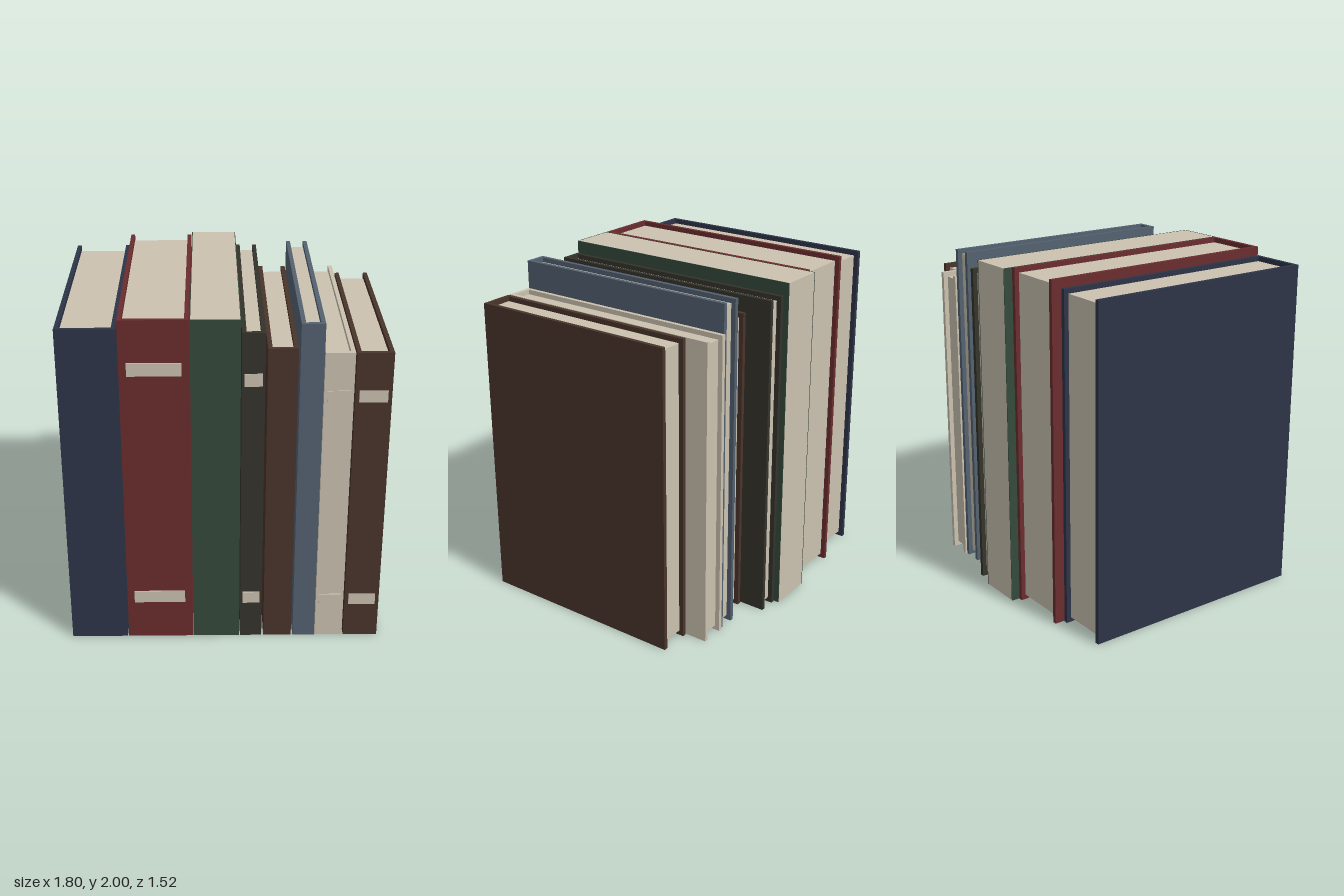
import * as THREE from 'three';

const mat = (name, color) => {
  const m = new THREE.MeshStandardMaterial({ color });
  m.name = name;
  return m;
};

const FRONT = 0.754; // plane shared by all the spines

// Box given by its limits on each axis
function block(name, material, [x0, x1], [y0, y1], [z0, z1]) {
  const mesh = new THREE.Mesh(new THREE.BoxGeometry(x1 - x0, y1 - y0, z1 - z0), material);
  mesh.name = name;
  mesh.position.set((x0 + x1) / 2, (y0 + y1) / 2, (z0 + z1) / 2);
  return mesh;
}

function makeBook({ name, x, height, back, cover, paper, bands = false, paperback = false }) {
  const book = new THREE.Group();
  book.name = name;
  const [x0, x1] = x;
  const t = paperback ? 0.004 : 0.024;      // board thickness
  const inset = paperback ? 0.001 : 0.028;  // pages set back from the board edges

  // Boards and spine
  book.add(block('rightCover', cover, [x0, x0 + t], [0, height], [back, FRONT - t]));
  book.add(block('leftCover', cover, [x1 - t, x1], [0, height], [back, FRONT - t]));
  book.add(block('spine', cover, [x0, x1], [0, height], [FRONT - t, FRONT]));

  // Page block
  book.add(block('pages', paper, [x0 + t, x1 - t], [inset, height - inset], [back + inset, FRONT - t]));

  // Raised labels across the spine
  if (bands) {
    const mid = (x0 + x1) / 2, half = (x1 - x0) * 0.39, h = height * 0.019;
    for (const f of [0.14, 0.86]) {
      const y = height * f;
      book.add(block('spineBand', paper, [mid - half, mid + half], [y - h, y + h], [FRONT, FRONT + 0.006]));
    }
  }
  return book;
}

export function createModel() {
  const paper = mat('cream', 0xcbc2b0);
  const navy = mat('navy', 0x2d3447);
  const maroon = mat('maroon', 0x6a2c2e);
  const green = mat('green', 0x34493a);
  const charcoal = mat('charcoal', 0x34332b);
  const brown = mat('brown', 0x49342b);
  const blue = mat('slateBlue', 0x536170);

  const books = [
    { name: 'navyBook', x: [-0.9, -0.576], height: 1.95, back: -0.653, cover: navy },
    { name: 'maroonBook', x: [-0.569, -0.192], height: 2, back: -0.71, cover: maroon, bands: true },
    { name: 'greenPaperback', x: [-0.188, 0.082], height: 2, back: -0.76, cover: green, paperback: true },
    { name: 'charcoalBook', x: [0.087, 0.213], height: 1.926, back: -0.73, cover: charcoal, bands: true },
    { name: 'slimBrownBook', x: [0.225, 0.388], height: 1.836, back: -0.577, cover: brown },
    { name: 'slateBook', x: [0.398, 0.526], height: 1.975, back: -0.643, cover: blue },
    { name: 'creamBook', x: [0.529, 0.69], height: 1.81, back: -0.653, cover: paper, bands: true },
    { name: 'wideBrownBook', x: [0.697, 0.896], height: 1.81, back: -0.519, cover: brown, bands: true },
  ];

  const group = new THREE.Group();
  group.name = 'bookRow';
  for (const b of books) group.add(makeBook({ ...b, paper }));
  return group;
}
